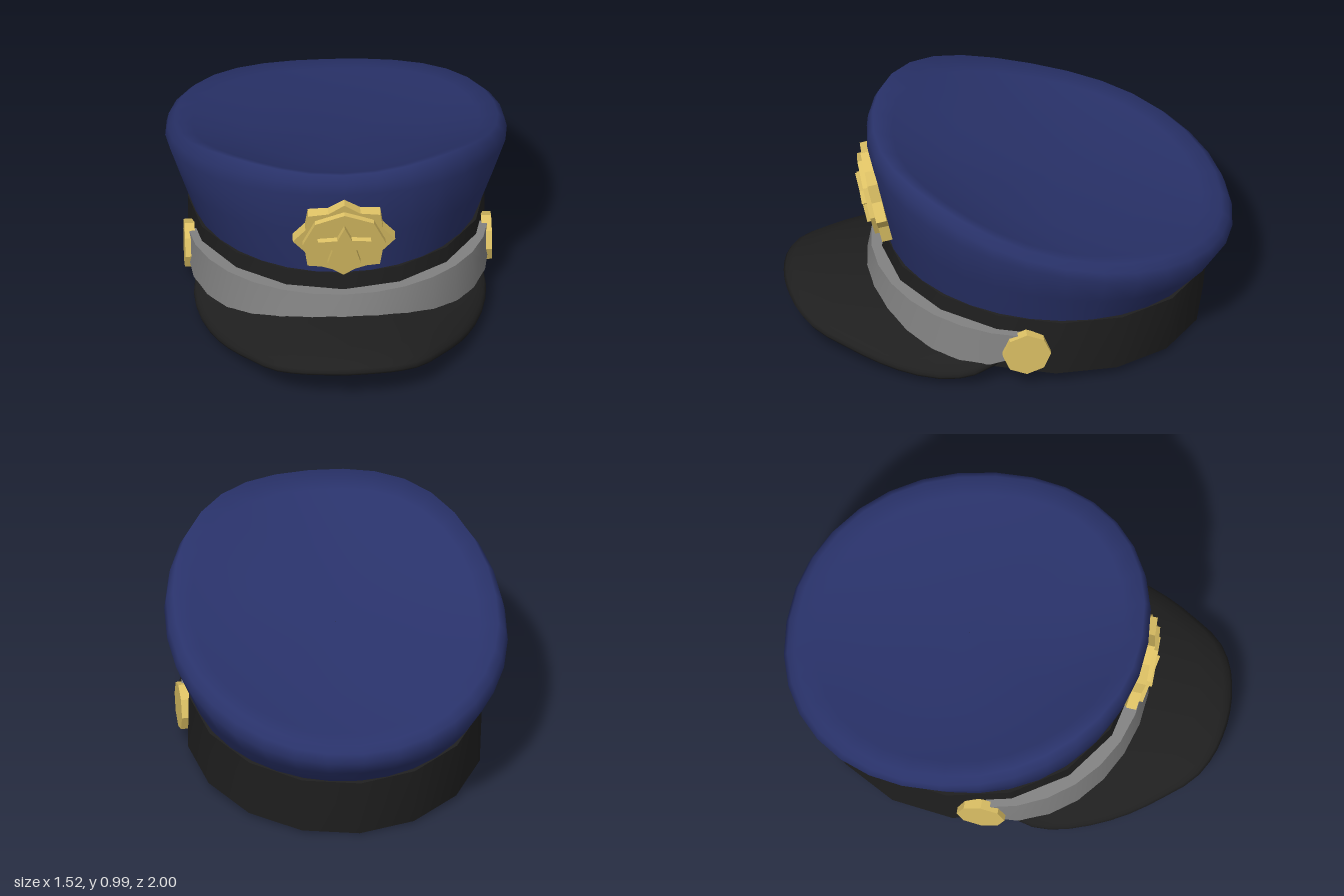
import * as THREE from 'three';
import { toCreasedNormals } from 'three/addons/utils/BufferGeometryUtils.js';

const mat = (name, color) => Object.assign(new THREE.MeshStandardMaterial({ color }), { name });

// Skin a list of cross-section loops; every loop is closed
function loft(rows, crease) {
  const n = rows[0].length, index = [];
  for (let i = 0; i < rows.length - 1; i++) {
    for (let j = 0; j < n; j++) {
      const k = (j + 1) % n, a = i * n, b = a + n;
      index.push(a + j, a + k, b + j, a + k, b + k, b + j);
    }
  }
  const geo = new THREE.BufferGeometry();
  geo.setAttribute('position', new THREE.Float32BufferAttribute(rows.flat(2), 3));
  geo.setIndex(index);
  return toCreasedNormals(geo, crease);
}

// Star outline with alternating radii, first tip pointing up
function starShape(tips, outer, inner) {
  const pts = [];
  for (let i = 0; i < tips * 2; i++) {
    const a = Math.PI / 2 + (i * Math.PI) / tips, r = i % 2 ? inner : outer;
    pts.push(new THREE.Vector2(r * Math.cos(a), r * Math.sin(a)));
  }
  return new THREE.Shape(pts);
}

// Arched top surface of the visor
const visorTop = (x, z) => 0.235 - 0.4 * x * x + 0.5 * Math.max(0, 0.55 - z) ** 2;

// Slightly squared oval: power below 1 fills out the diagonals
const bulge = (v, power) => Math.sign(v) * Math.abs(v) ** power;

export function createModel() {
  const hat = new THREE.Group();
  hat.name = 'peakedCap';
  const navy = mat('navy cloth', 0x29326a);
  const black = mat('black', 0x1f1f1f);
  const grey = mat('grey strap', 0x838383);
  const gold = mat('gold', 0xdcc064);
  const add = (name, geo, material, parent = hat) => {
    const m = new THREE.Mesh(geo, material);
    m.name = name;
    parent.add(m);
    return m;
  };

  // Crown: tilted oval rings with a dished top,
  // [x radius, z radius, z centre, height, slope, lift on the diagonals]
  const rings = [
    [0.643, 0.71, -0.17, 0.366, 0.0925, 0],
    [0.70, 0.765, -0.18, 0.541, 0.186, 0],
    [0.76, 0.815, -0.185, 0.725, 0.277, 0],
    [0.75, 0.805, -0.18, 0.772, 0.286, 0.5],
    [0.72, 0.778, -0.175, 0.805, 0.305, 1],
    [0.64, 0.69, -0.175, 0.785, 0.30, 0.8],
    [0.40, 0.43, -0.175, 0.745, 0.29, 0.2],
    [0.001, 0.001, -0.175, 0.73, 0.29, 0],
  ];
  const crown = rings.map(([rx, rz, cz, y, slope, lift], i) =>
    Array.from({ length: 32 }, (_, j) => {
      const a = (j / 32) * Math.PI * 2, power = i ? 0.95 : 1;
      const x = rx * bulge(Math.sin(a), power), z = cz + rz * bulge(Math.cos(a), power);
      const rise = lift * (0.027 + 0.011 * Math.cos(a)) * Math.sin(2 * a) ** 2;
      return [x, y + slope * z + rise, z];
    }));
  add('crown', loft(crown, 3), navy);

  // Head band, leaning back
  const bandGeo = new THREE.CylinderGeometry(1, 1, 0.28, 16).scale(0.66, 1, 0.73);
  const band = add('band', toCreasedNormals(bandGeo, 0.7), black);
  band.position.set(0, 0.21, -0.1575);
  band.rotation.x = -0.094;

  // Visor: lens-shaped sections swept between the band and the outer edge
  const half = [[0.62, 0.05], [0.65, 0.2], [0.635, 0.33], [0.58, 0.5], [0.515, 0.64],
    [0.43, 0.77], [0.33, 0.895], [0.22, 0.96], [0.11, 0.99]];
  const edge = new THREE.CatmullRomCurve3([
    ...half.map(([x, z]) => new THREE.Vector3(-x, 0, z)),
    new THREE.Vector3(0, 0, 1),
    ...half.slice().reverse().map(([x, z]) => new THREE.Vector3(x, 0, z)),
  ]);
  const section = [[0, 0], [0.35, 0], [0.7, -0.002], [0.92, -0.014], [0.98, -0.028], [1, -0.045],
    [0.98, -0.062], [0.9, -0.078], [0.6, -0.09], [0, -0.098]];
  const visor = [];
  for (let i = 0; i <= 32; i++) {
    const u = i / 32, o = edge.getPoint(u), a = (u * 2 - 1) * 1.25;
    const ix = 0.6 * Math.sin(a), iz = -0.17 + 0.68 * Math.cos(a);
    // thinner towards the sides
    const thick = 1 - 0.35 * Math.abs(u * 2 - 1);
    visor.push(section.map(([t, dy]) => {
      const x = ix + (o.x - ix) * t, z = iz + (o.z - iz) * t;
      return [x, visorTop(x, z) + dy * thick, z];
    }));
  }
  add('visor', loft(visor, 1.1), black);

  // Chin strap resting on the visor
  const strap = [];
  for (let i = 0; i <= 14; i++) {
    const a = (i / 7 - 1) * 1.5, s = Math.sin(a), c = Math.cos(a);
    const point = (rx, rz, top) => {
      const x = rx * s, z = -0.04 + rz * c;
      return [x, top ? 0.293 + 0.082 * z : Math.min(visorTop(x, z), 0.24) - 0.012, z];
    };
    strap.push([point(0.6, 0.57, true), point(0.668, 0.65, true),
      point(0.676, 0.672, false), point(0.6, 0.57, false)]);
  }
  add('chinStrap', loft(strap, 0.8), grey);

  // Side buttons
  for (const side of [1, -1]) {
    const geo = new THREE.CylinderGeometry(0.108, 0.108, 0.045, 8).rotateZ(Math.PI / 2);
    const button = add(side > 0 ? 'leftButton' : 'rightButton', toCreasedNormals(geo, 0.5), gold);
    button.position.set(side * 0.66, 0.203, -0.013);
  }

  // Badge: eight-pointed plate, octagonal disc and raised star
  const badge = new THREE.Group();
  badge.name = 'badge';
  badge.position.set(0, 0.652, 0.567);
  badge.rotation.x = 0.21;
  hat.add(badge);
  const layers = [
    ['badgePlate', starShape(8, 0.228, 0.187), 0, 0.047],
    ['badgeDisc', starShape(4, 0.185, 0.185), 0.04, 0.03],
    ['badgeStar', starShape(5, 0.125, 0.055), 0.065, 0.028],
  ];
  for (const [name, shape, z, depth] of layers) {
    const geo = new THREE.ExtrudeGeometry(shape, { depth, bevelEnabled: false });
    add(name, geo, gold, badge).position.z = z;
  }
  return hat;
}
